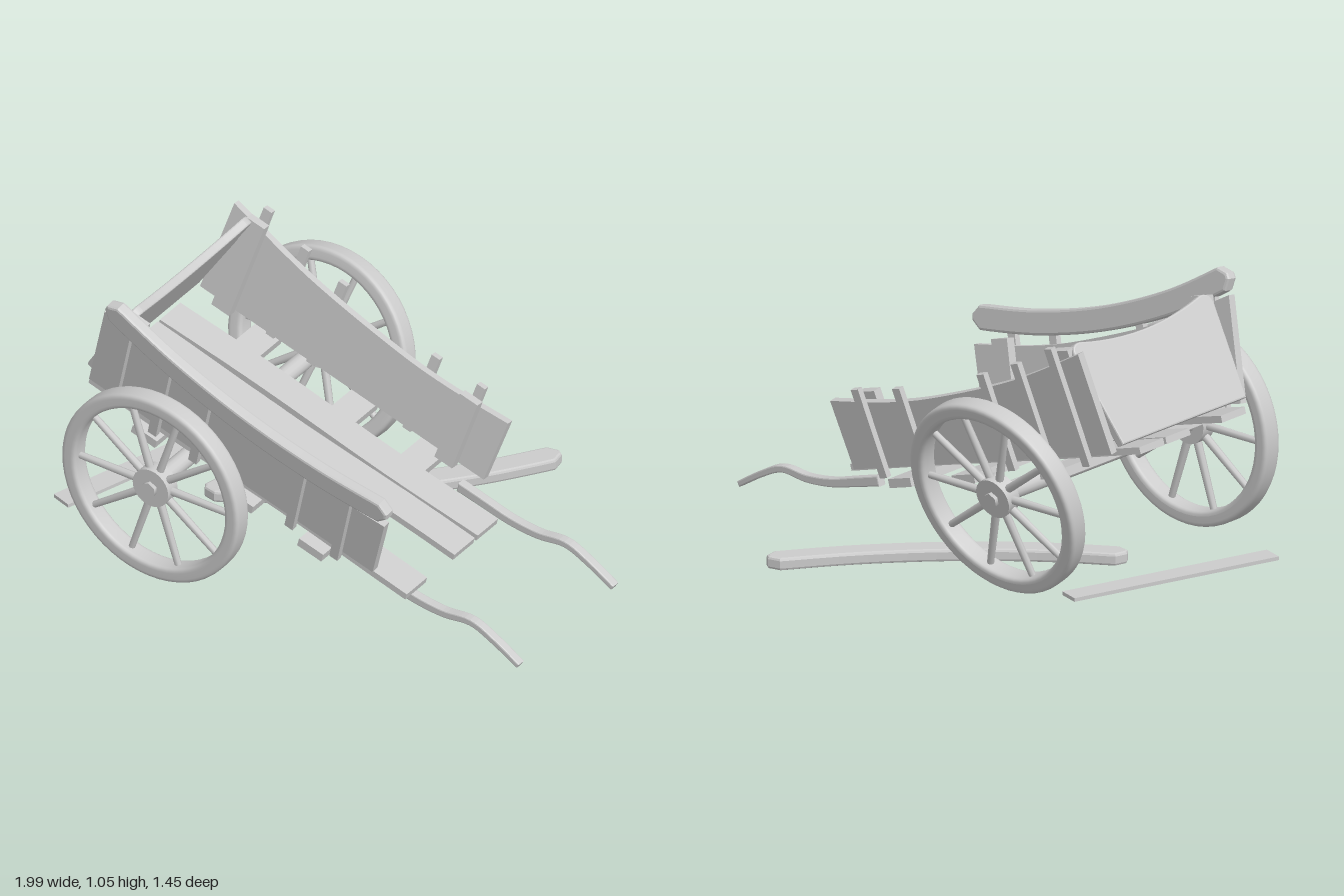
import * as THREE from 'three';

const mat = new THREE.MeshStandardMaterial({ color: 0xcccccc });
const CZ = 0.15;      // centre line of the cart body
const PITCH = -0.28;  // nose-down slope of the bed

function add(parent, name, geo, x = 0, y = 0, z = 0) {
  const m = new THREE.Mesh(geo, mat);
  m.name = name;
  m.position.set(x, y, z);
  parent.add(m);
  return m;
}
const box = (w, h, d) => new THREE.BoxGeometry(w, h, d);
const curveOf = pts => new THREE.SplineCurve(pts.map(p => new THREE.Vector2(...p)));

// Extrude a shape, centred on its thickness
function slab(shape, depth, bevel = 0) {
  const g = new THREE.ExtrudeGeometry(shape, {
    depth: depth - 2 * bevel, bevelEnabled: bevel > 0, bevelThickness: bevel,
    bevelSize: bevel, bevelOffset: -bevel, bevelSegments: 2, curveSegments: 12
  });
  return g.translate(0, 0, -depth / 2 + bevel);
}

// Bar that follows a flat curve, with half-width given along its length
function ribbon(pts, halfWidth, depth, bevel) {
  const c = curveOf(pts), n = 36, top = [], bottom = [];
  for (let i = 0; i <= n; i++) {
    const t = i / n, p = c.getPointAt(t), d = c.getTangentAt(t), w = halfWidth(t);
    top.push(new THREE.Vector2(p.x - d.y * w, p.y + d.x * w));
    bottom.push(new THREE.Vector2(p.x + d.y * w, p.y - d.x * w));
  }
  return slab(new THREE.Shape([...bottom, ...top.reverse()]), depth, bevel);
}

// Curved top rail with rounded ends
function railGeometry() {
  const round = t => {
    const e = Math.min(1, Math.min(t, 1 - t) / 0.035);
    return 0.012 + 0.035 * Math.sqrt(1 - (1 - e) ** 2);
  };
  return ribbon([[-0.7, 0.475], [-0.4, 0.393], [-0.06, 0.347], [0.28, 0.345], [0.6, 0.38]], round, 0.048, 0.01);
}

// Slightly crooked floor board
function boardGeometry(length, width, phase) {
  const g = new THREE.BoxGeometry(length, 0.026, width, 10, 1, 1);
  const p = g.attributes.position;
  for (let i = 0; i < p.count; i++) p.setZ(i, p.getZ(i) + 0.005 * Math.sin(p.getX(i) * 5 + phase));
  g.computeVertexNormals();
  return g;
}

// Spoked wheel facing z
function wheel(name) {
  const g = new THREE.Group();
  g.name = name;
  const section = new THREE.Shape();
  const [a, b, r] = [0.328, 0.388, 0.018];
  section.moveTo(a + r, -0.04).lineTo(b - r, -0.04).quadraticCurveTo(b, -0.04, b, -0.04 + r)
    .lineTo(b, 0.04 - r).quadraticCurveTo(b, 0.04, b - r, 0.04)
    .lineTo(a + r, 0.04).quadraticCurveTo(a, 0.04, a, 0.04 - r)
    .lineTo(a, -0.04 + r).quadraticCurveTo(a, -0.04, a + r, -0.04);
  add(g, 'rim', new THREE.LatheGeometry(section.getPoints(4), 56).rotateX(Math.PI / 2));
  for (let i = 0; i < 10; i++) {
    const s = new THREE.CylinderGeometry(0.013, 0.016, 0.29, 8).translate(0, 0.2, 0);
    add(g, 'spoke', s.rotateZ(i * Math.PI / 5 + Math.PI / 2));
  }
  add(g, 'hub', new THREE.CylinderGeometry(0.078, 0.078, 0.06, 24).rotateX(Math.PI / 2));
  add(g, 'hubNut', new THREE.CylinderGeometry(0.03, 0.03, 0.09, 6).rotateX(Math.PI / 2));
  return g;
}

// Leaning side wall: s = 1 or -1
function sideWall(s) {
  const g = new THREE.Group();
  g.name = s > 0 ? 'frontSideWall' : 'rearSideWall';
  g.position.z = s * 0.35;
  g.rotation.x = s * 0.15;
  const top = curveOf([[0.582, 0.282], [0.3, 0.264], [0.05, 0.272], [-0.35, 0.32], [-0.718, 0.407]]);
  const edge = top.getPoints(24);
  const shape = new THREE.Shape([new THREE.Vector2(-0.72, 0.012), new THREE.Vector2(0.576, 0.012), ...edge]);
  add(g, 'sidePanel', slab(shape, 0.03));
  const heightAt = u => edge.reduce((m, p) => Math.abs(p.x - u) < Math.abs(m.x - u) ? p : m).y;
  // outer battens
  for (const u of [-0.6, -0.41, -0.225, 0.215, 0.42]) {
    const h = heightAt(u) + 0.08;
    add(g, 'batten', box(0.036, h, 0.024), u, h / 2 - 0.02, s * 0.027);
  }
  // inner corner posts
  for (const u of [-0.6, 0.42]) {
    const h = heightAt(u) + 0.03;
    add(g, 'innerPost', box(0.08, h, 0.036), u, h / 2, -s * 0.033);
  }
  if (s > 0) add(g, 'topRail', railGeometry(), 0, 0, 0.028);
  return g;
}

export function createModel() {
  const root = new THREE.Group();
  root.name = 'brokenCart';

  // Sloping bed with its walls
  const bed = new THREE.Group();
  bed.name = 'bed';
  bed.position.set(-0.163, 0.395, CZ);
  bed.rotation.z = PITCH;
  root.add(bed);
  [-0.162, -0.013, 0.282].forEach((z, i) => add(bed, 'floorBoard', boardGeometry(1.45, 0.13, i * 2), 0, -0.013, z));
  for (const u of [-0.43, 0.01, 0.33]) add(bed, 'crossBeam', box(0.11, 0.034, 0.8), u, -0.043, 0);
  bed.add(sideWall(1), sideWall(-1));

  // Tailboard with a dipped top edge, leaning inward
  const tail = new THREE.Shape();
  tail.moveTo(-0.335, 0).lineTo(0.335, 0).lineTo(0.378, 0.36)
    .quadraticCurveTo(0.378, 0.405, 0.33, 0.405)
    .quadraticCurveTo(0, 0.325, -0.33, 0.405)
    .quadraticCurveTo(-0.378, 0.405, -0.378, 0.36);
  const tailboard = add(root, 'tailboard', slab(tail, 0.035, 0.006).rotateY(Math.PI / 2), -0.868, 0.632, CZ);
  tailboard.rotation.z = -0.57;

  // Curved pulling shafts
  const shaftPath = [[0.31, 0.208], [0.42, 0.178], [0.54, 0.146], [0.66, 0.133], [0.78, 0.141], [0.88, 0.098], [0.99, 0.032]];
  for (const s of [-1, 1]) {
    add(root, 'shaft', ribbon(shaftPath, t => 0.02 - 0.009 * t, 0.036, 0.005), 0, 0, CZ - 0.01 + s * 0.3);
  }

  // Axle, sound wheel and loose tilted wheel
  add(root, 'axle', new THREE.CylinderGeometry(0.035, 0.035, 1.1, 16).rotateX(Math.PI / 2), -0.45, 0.395, 0.155);
  const sound = wheel('soundWheel');
  sound.position.set(-0.45, 0.39, 0.678);
  const loose = wheel('looseWheel');
  loose.position.set(-0.45, 0.395, -0.382);
  loose.rotation.x = -0.24;
  root.add(sound, loose);

  // Fallen top rail lying on the ground
  const fallen = add(root, 'fallenRail', railGeometry().translate(0.053, -0.42, 0), -0.1, 0.034, -0.26);
  fallen.rotation.set(-Math.PI / 2, 0.84, 0, 'YXZ');

  // Fallen floor board
  const plank = add(root, 'fallenBoard', box(0.86, 0.014, 0.085), -0.828, 0.037, 0.132);
  plank.rotation.y = Math.atan2(0.82, 0.26);

  return root;
}
